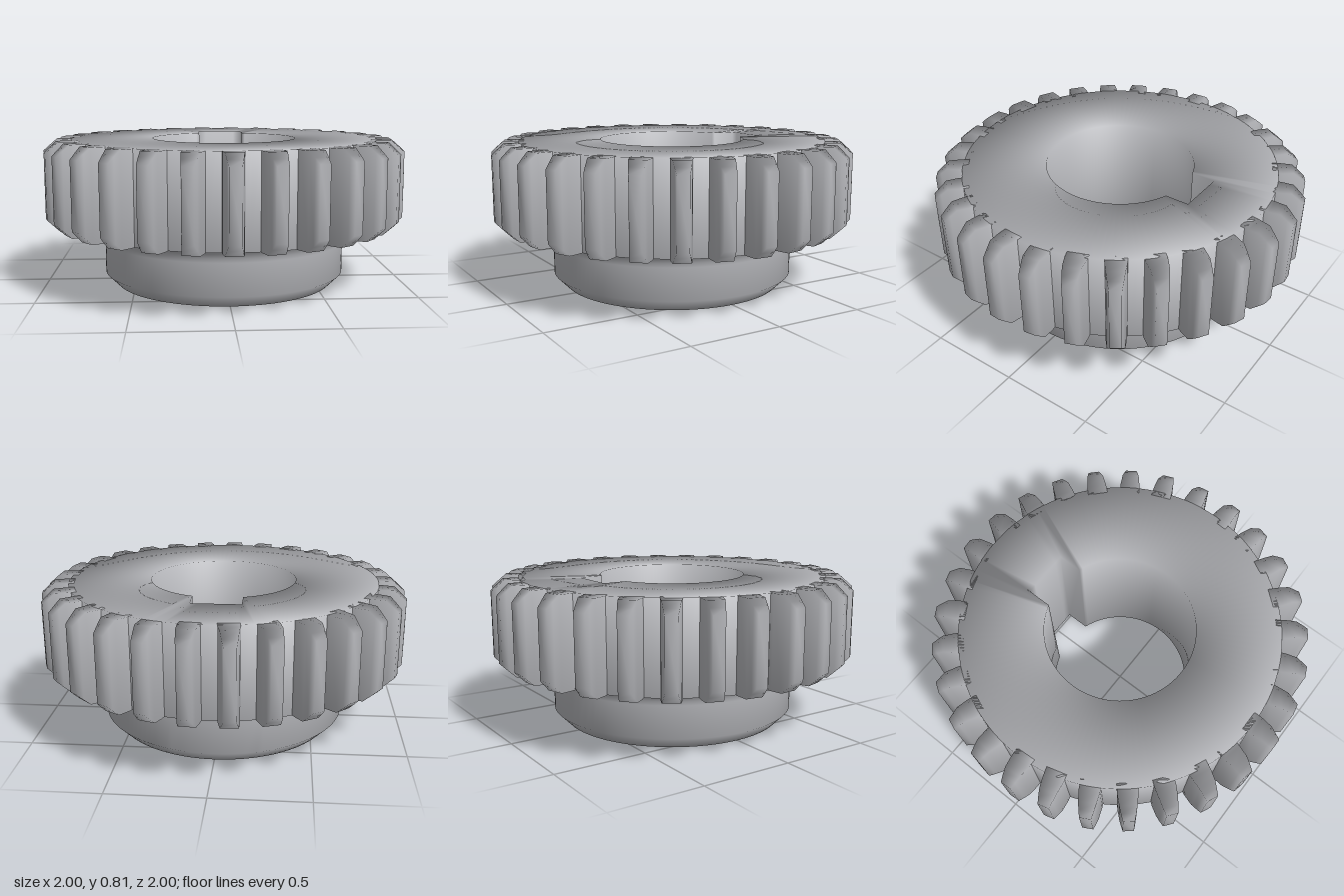
import * as THREE from 'three';

const TEETH = 29, BORE = 0.4, SLOT_HALF = 0.13, SLOT_DEPTH = 0.51, TOP = 0.81, UNDERSIDE = 0.33;

// Smooth skin over rows of points; each row is a closed loop
function loft(rows, closeRows) {
  const n = rows[0].length, index = [];
  const last = closeRows ? rows.length : rows.length - 1;
  for (let v = 0; v < last; v++) {
    for (let u = 0; u < n; u++) {
      const w = (v + 1) % rows.length, t = (u + 1) % n;
      const a = v * n + u, b = v * n + t, c = w * n + t, d = w * n + u;
      index.push(a, b, c, a, c, d);
    }
  }
  const geometry = new THREE.BufferGeometry();
  geometry.setAttribute('position', new THREE.Float32BufferAttribute(rows.flat(2), 3));
  geometry.setIndex(index);
  geometry.computeVertexNormals();
  return geometry;
}

// Hub and rim in one turned body, with the keyway cut into the bore
function bodyGeometry() {
  const edge = Math.asin(SLOT_HALF / BORE), corner = Math.atan(SLOT_HALF / SLOT_DEPTH);
  const stations = []; // [angle, inner radius], keyway centred on the back
  const arc = 116;
  for (let i = 0; i <= arc; i++) {
    stations.push([-Math.PI + edge + (i / arc) * 2 * (Math.PI - edge), BORE]);
  }
  for (let i = 0; i <= 6; i++) {
    const a = -corner + (i / 6) * 2 * corner;
    stations.push([Math.PI + a, SLOT_DEPTH / Math.cos(a)]);
  }
  // Outer profile as [radius, height]
  const profile = [[0.61, 0], [0.675, 0.065], [0.675, 0.24]];
  for (let i = 1; i <= 6; i++) {
    const a = (i / 6) * Math.PI / 2;
    profile.push([0.765 - 0.09 * Math.cos(a), 0.24 + 0.09 * Math.sin(a)]);
  }
  profile.push([0.85, UNDERSIDE], [0.85, TOP]);

  const ring = (radius, y) => stations.map(([a, inner]) => {
    const r = radius ?? inner;
    return [r * Math.sin(a), y, r * Math.cos(a)];
  });
  const rows = [ring(null, 0), ...profile.map(([r, y]) => ring(r, y)), ring(null, TOP)];
  return loft(rows, true);
}

// One tooth pointing to +z, tapered and chamfered at the tip
function toothGeometry() {
  const sections = [ // radius, half width, low, high
    [0.82, 0.054, UNDERSIDE, TOP],
    [0.87, 0.053, UNDERSIDE, TOP],
    [0.93, 0.045, UNDERSIDE, TOP],
    [0.965, 0.038, 0.362, 0.78],
    [0.999, 0.03, 0.395, 0.75],
  ];
  const rows = sections.map(([r, w, lo, hi]) => [[-w, lo, r], [w, lo, r], [w, hi, r], [-w, hi, r]]);
  rows.push(Array.from({ length: 4 }, () => [0, 0.57, 1])); // closes the tip
  return loft(rows, false);
}

export function createModel() {
  const steel = new THREE.MeshStandardMaterial({ color: 0xb3b4b8 });
  steel.name = 'steel grey';

  const gear = new THREE.Group();
  gear.name = 'gear';

  const body = new THREE.Mesh(bodyGeometry(), steel);
  body.name = 'hubAndRim';
  gear.add(body);

  const teeth = new THREE.Group();
  teeth.name = 'teeth';
  const geometry = toothGeometry();
  for (let i = 0; i < TEETH; i++) {
    const tooth = new THREE.Mesh(geometry, steel);
    tooth.name = 'tooth';
    tooth.rotation.y = (i / TEETH) * Math.PI * 2;
    teeth.add(tooth);
  }
  gear.add(teeth);
  return gear;
}
